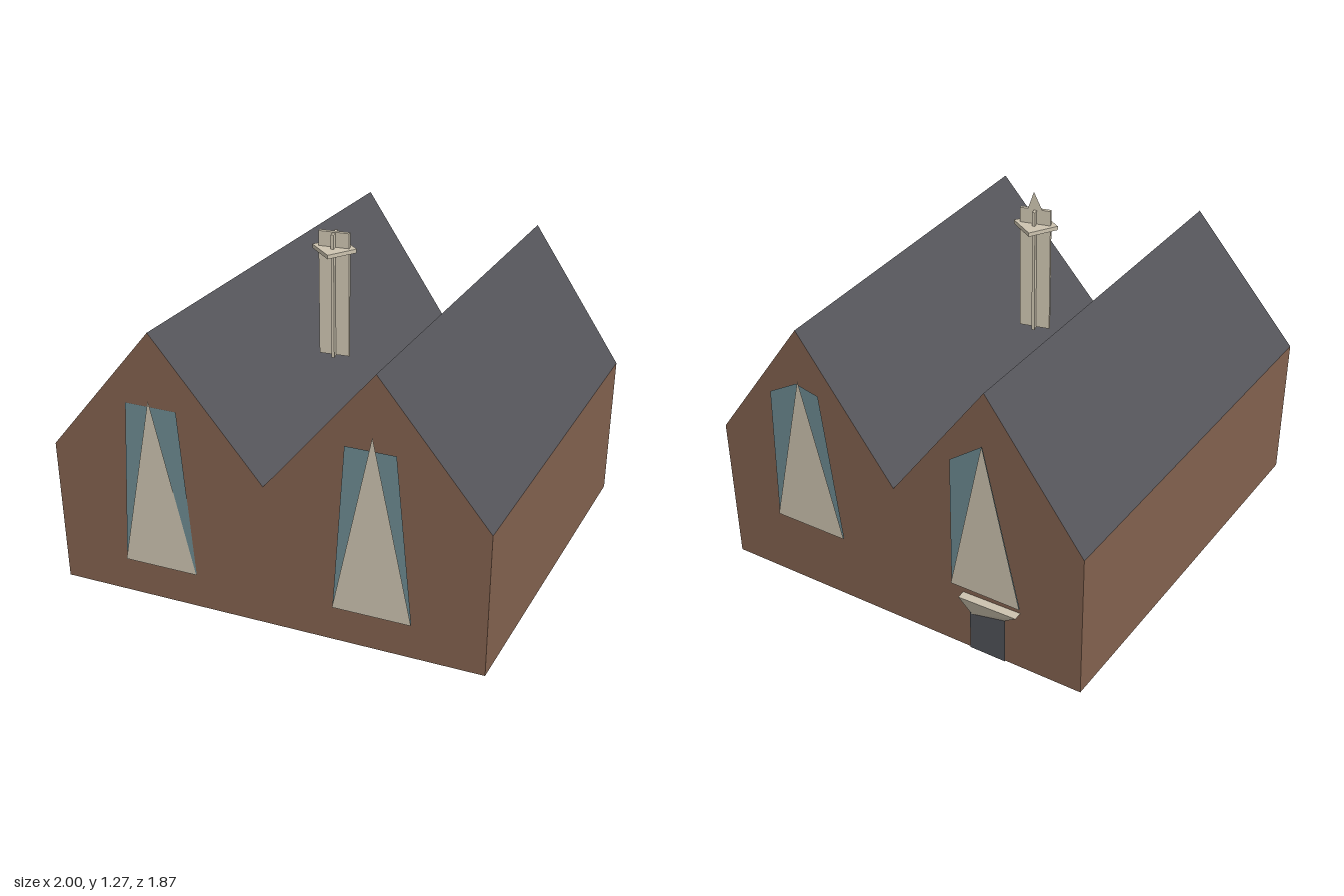
import * as THREE from 'three';

const mat = (name, color, side = THREE.FrontSide) => {
  const m = new THREE.MeshStandardMaterial({ color, side, flatShading: true });
  m.name = name;
  return m;
};

export function createModel() {
  const brick = mat('brick', 0x83624f, THREE.DoubleSide);
  const slate = mat('slate', 0x545459, THREE.DoubleSide);
  const stone = mat('stone', 0xcdc4b0, THREE.DoubleSide);
  const stoneFace = mat('stone', 0xcdc4b0);
  stoneFace.color = stone.color;
  const glass = mat('glass', 0x6d8b92);
  const door = mat('door', 0x515359);

  const house = new THREE.Group();
  house.name = 'house';
  const add = (parent, name, geometry, material) => {
    const mesh = new THREE.Mesh(geometry, material);
    mesh.name = name;
    parent.add(mesh);
    return mesh;
  };

  // Flat polygon from corners listed counter-clockwise
  const face = (...pts) => {
    const g = new THREE.BufferGeometry().setFromPoints(pts.map((p) => new THREE.Vector3(...p)));
    const index = [];
    for (let i = 1; i < pts.length - 1; i++) index.push(0, i, i + 1);
    g.setIndex(index);
    const flat = g.toNonIndexed();
    flat.computeVertexNormals();
    return flat;
  };

  // Skewed footprint corners (x, z) and roof heights
  const A = [-1, -0.225], B = [0.26, -0.94], C = [1, 0.22], D = [-0.02, 0.93];
  const eave = 0.54, ridge = 1.02;
  const profile = [[0, eave], [0.25, ridge], [0.5, eave], [0.75, ridge], [1, eave]];
  const at = (p, q, t, y) => [p[0] + (q[0] - p[0]) * t, y, p[1] + (q[1] - p[1]) * t];

  // Wall frame: x runs left to right seen from outside, z points outward
  const wall = (name, p, q, outline) => {
    const g = new THREE.Group();
    g.name = name;
    const u = new THREE.Vector3(q[0] - p[0], 0, q[1] - p[1]);
    const length = u.length();
    u.normalize();
    const up = new THREE.Vector3(0, 1, 0);
    new THREE.Matrix4().makeBasis(u, up, u.clone().cross(up)).decompose(g.position, g.quaternion, g.scale);
    g.position.set(p[0], 0, p[1]);
    house.add(g);
    const panel = (label, pts, material, offset = 0) => {
      const shape = new THREE.Shape(pts.map(([t, y]) => new THREE.Vector2(t * length, y)));
      add(g, label, new THREE.ShapeGeometry(shape), material).position.z = offset;
    };
    panel(name + 'Face', outline, brick);
    return { g, length, panel };
  };

  const gable = [[0, 0], [1, 0], ...profile.slice().reverse()];
  const plain = [[0, 0], [1, 0], [1, eave], [0, eave]];
  const westGable = wall('westGable', A, D, gable);
  const eastGable = wall('eastGable', C, B, gable);
  wall('frontWall', D, C, plain);
  wall('backWall', B, A, plain);
  add(house, 'floor', face(...[A, B, C, D].map((p) => [p[0], 0, p[1]])), brick);

  // Double-ridged roof
  for (let i = 0; i < 4; i++) {
    const [t0, y0] = profile[i], [t1, y1] = profile[i + 1];
    add(house, 'roofSlope', face(at(A, D, t0, y0), at(A, D, t1, y1), at(B, C, t1, y1), at(B, C, t0, y0)), slate);
  }

  // Windows: glass pane behind a tapering stone triangle
  const addWindow = (w, left, right, base, apex, paneTop) => {
    w.panel('windowPane', [[left, base], [right, base], ...paneTop], glass, 0.004);
    w.panel('windowStone', [[left, base], [right, base], apex], stoneFace, 0.008);
  };
  addWindow(westGable, 0.158, 0.332, 0.135, [0.243, 0.78], [[0.306, 0.755], [0.187, 0.755]]);
  addWindow(westGable, 0.656, 0.835, 0.135, [0.745, 0.807], [[0.796, 0.755], [0.684, 0.755]]);
  addWindow(eastGable, 0.147, 0.345, 0.25, [0.248, 0.835], [[0.302, 0.8], [0.24, 0.82], [0.16, 0.755]]);
  addWindow(eastGable, 0.655, 0.84, 0.25, [0.746, 0.835], [[0.746, 0.83], [0.66, 0.74]]);

  // Door and its canopy
  eastGable.panel('door', [[0.704, 0], [0.8, 0], [0.8, 0.185], [0.704, 0.185]], door, 0.004);
  const L = eastGable.length;
  const tl = [0.685 * L, 0.225, 0.03], tr = [0.84 * L, 0.23, 0.03];
  add(eastGable.g, 'canopyFront', face([0.71 * L, 0.15, 0.006], [0.8 * L, 0.178, 0.006], tr, tl), stone);
  add(eastGable.g, 'canopyTop', face(tl, tr, [0.84 * L, 0.23, 0], [0.685 * L, 0.225, 0]), stone);

  // Chimney: diagonal slab with a square ledge and a pointed fin
  const chimney = new THREE.Group();
  chimney.name = 'chimney';
  chimney.position.set(-0.068, 0, 0.015);
  house.add(chimney);
  const shaft = add(chimney, 'chimneyShaft', new THREE.BoxGeometry(0.105, 0.45, 0.012), stone);
  shaft.position.y = 0.978;
  shaft.rotation.y = -Math.PI / 4;
  const brace = add(chimney, 'chimneyBrace', new THREE.BoxGeometry(0.05, 0.45, 0.01), stone);
  brace.position.y = 0.975;
  brace.rotation.y = Math.PI / 4;
  add(chimney, 'chimneyLedge', new THREE.BoxGeometry(0.108, 0.014, 0.108), stone).position.y = 1.143;
  add(chimney, 'chimneyFin', face([0.035, 1.15, 0.026], [-0.03, 1.15, -0.039], [0.008, 1.266, -0.001]), stoneFace);

  return house;
}
